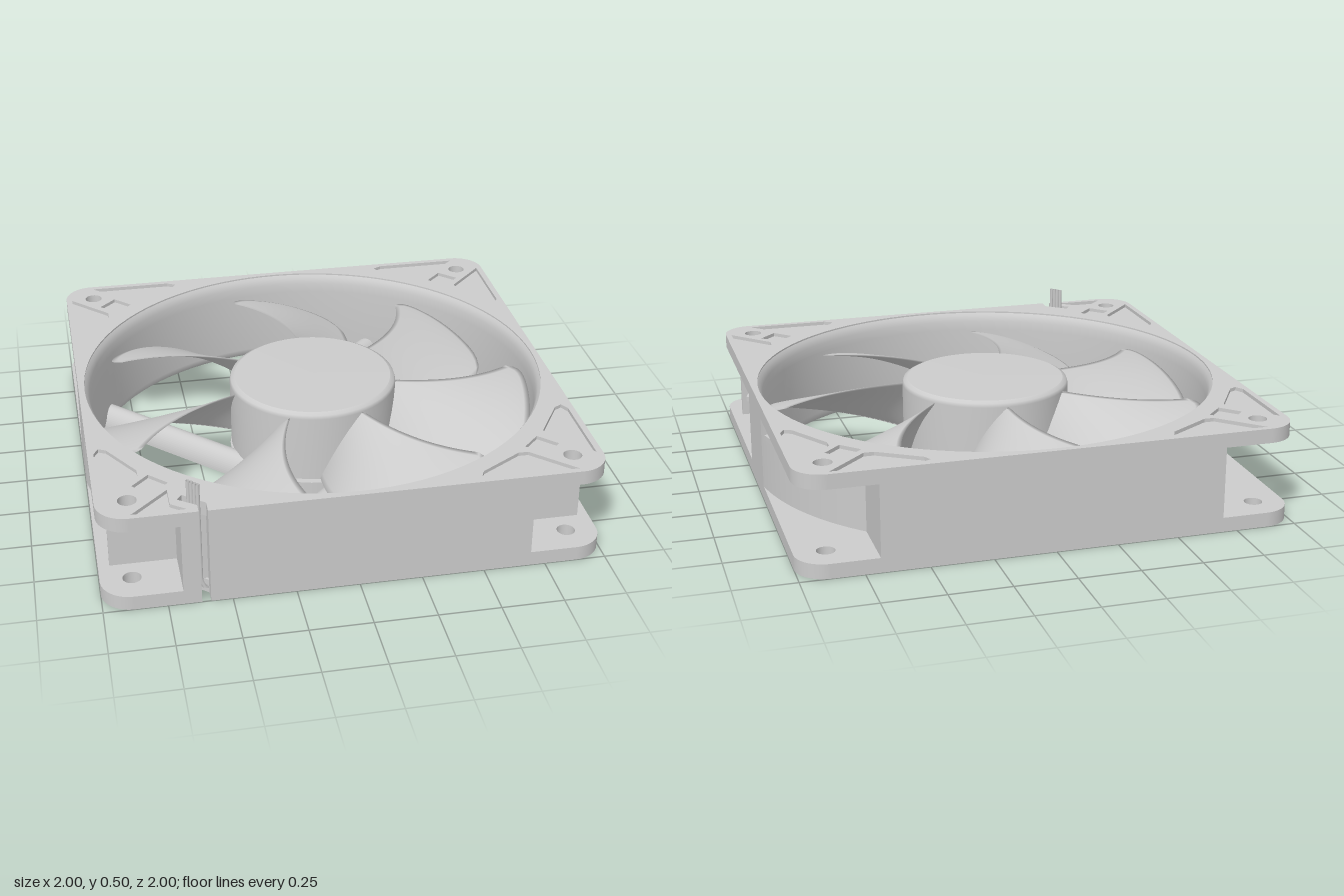
import * as THREE from 'three';
import { ParametricGeometry } from 'three/addons/geometries/ParametricGeometry.js';

const grey = new THREE.MeshStandardMaterial({ color: 0xcccccc });
const greyDouble = new THREE.MeshStandardMaterial({ color: 0xcccccc, side: THREE.DoubleSide });
const HEIGHT = 0.415, BORE = 0.975, DUCT = 1.0135, PI = Math.PI;

function add(parent, name, geometry, material = grey) {
  const mesh = new THREE.Mesh(geometry, material);
  mesh.name = name;
  parent.add(mesh);
  return mesh;
}

// Extrudes a plan shape (x, z) between two heights
function slab(shape, y0, y1) {
  const g = new THREE.ExtrudeGeometry(shape, { depth: y1 - y0, bevelEnabled: false, curveSegments: 48 });
  return g.rotateX(PI / 2).translate(0, y1, 0);
}

function circlePath(x, z, r) {
  return new THREE.Path().absarc(x, z, r, 0, 2 * PI, true);
}

function polygon(points, sx = 1, sz = 1) {
  return new THREE.Path(points.map(([x, z]) => new THREE.Vector2(x * sx, z * sz)));
}

const corners = [[1, 1], [1, -1], [-1, 1], [-1, -1]];
const pocket = [[0.87, 0.975], [0.52, 0.975], [0.485, 0.955], [0.5, 0.925], [0.67, 0.82], [0.71, 0.82]];
const shortPocket = [[0.87, 0.975], [0.66, 0.975], [0.72, 0.93], [0.72, 0.83]];
const diamond = [[0.78, 0.85], [0.85, 0.78], [0.78, 0.71], [0.71, 0.78]];

// Rounded square plate with bore, screw holes and cable notch
function flangeShape(withPockets) {
  const s = new THREE.Shape();
  s.moveTo(-0.88, -1).lineTo(0.88, -1);
  s.absarc(0.88, -0.88, 0.12, -PI / 2, 0);
  s.absarc(0.88, 0.88, 0.12, 0, PI / 2);
  for (const [x, z] of [[-0.585, 1], [-0.585, 0.945], [-0.67, 0.875], [-0.69, 0.905], [-0.62, 0.955], [-0.62, 1]]) s.lineTo(x, z);
  s.absarc(-0.88, 0.88, 0.12, PI / 2, PI);
  s.absarc(-0.88, -0.88, 0.12, PI, 1.5 * PI);
  s.holes.push(circlePath(0, 0, BORE));
  for (const [sx, sz] of corners) {
    s.holes.push(circlePath(0.875 * sx, 0.875 * sz, 0.037));
    if (!withPockets) continue;
    const cable = sx < 0 && sz > 0;
    s.holes.push(polygon(cable ? shortPocket : pocket, sx, sz));
    s.holes.push(polygon(pocket.map(([a, b]) => [b, a]), sx, sz));
    s.holes.push(polygon(diamond, sx, sz));
  }
  return s;
}

// Duct wall: round at the open corners, flat at front and back
function ductShape() {
  const s = new THREE.Shape();
  const a = Math.acos(0.69 / DUCT), b = Math.asin(0.165 / DUCT);
  s.moveTo(-0.69, -1).lineTo(0.69, -1);
  s.absarc(0, 0, DUCT, -a, -b);
  s.absarc(0, 0, DUCT, b, a);
  for (const [x, z] of [[0.69, 1], [-0.585, 1], [-0.585, 0.93], [-0.62, 0.93], [-0.62, 1], [-0.69, 1]]) s.lineTo(x, z);
  s.absarc(0, 0, DUCT, PI - a, PI - b);
  s.absarc(0, 0, DUCT, PI + b, PI + a);
  s.holes.push(circlePath(0, 0, BORE));
  return s;
}

function lathe(points, segments = 96) {
  return new THREE.LatheGeometry(points.map(([r, y]) => new THREE.Vector2(r, y)), segments);
}

function buildFrame() {
  const frame = new THREE.Group();
  frame.name = 'frame';
  const skin = 0.015;
  add(frame, 'bottomFlangeFace', slab(flangeShape(true), 0, skin));
  add(frame, 'bottomFlange', slab(flangeShape(false), skin, 0.06));
  add(frame, 'topFlange', slab(flangeShape(false), 0.355, HEIGHT - skin));
  add(frame, 'topFlangeFace', slab(flangeShape(true), HEIGHT - skin, HEIGHT));
  add(frame, 'ductWall', slab(ductShape(), 0.06, 0.355));

  // Flared inner lining
  const liner = [[BORE, 0], [0.962, 0.012], [0.955, 0.04], [0.952, 0.2], [0.952, 0.33], [0.956, 0.37], [0.964, 0.398], [0.982, HEIGHT]];
  add(frame, 'ductLining', lathe(liner), greyDouble);

  // Narrow outer rib across each open corner, and front gusset plates
  const a = Math.acos(0.69 / 1.03), b = Math.asin(0.25 / 1.03);
  for (let i = 0; i < 4; i++) {
    const start = [b, PI - a, PI + b, 2 * PI - a][i], end = start + a - b;
    const rib = new THREE.Shape();
    rib.absarc(0, 0, 1.03, start, end);
    rib.absarc(0, 0, 1.0, end, start, true);
    add(frame, 'cornerRib', slab(rib, 0.295, 0.315));
  }
  for (const sx of [1, -1]) {
    add(frame, 'cornerGusset', new THREE.BoxGeometry(0.28, 0.295, 0.02)).position.set(0.815 * sx, 0.2075, 0.77);
  }
  return frame;
}

// Four offset arms carry the motor base
function buildSupport() {
  const support = new THREE.Group();
  support.name = 'support';
  add(support, 'motorBase', new THREE.CylinderGeometry(0.36, 0.36, 0.07, 64)).position.y = 0.035;
  const arch = new THREE.Shape();
  arch.moveTo(-0.06, 0);
  arch.absellipse(0, 0, 0.06, 0.09, PI, 0, true);
  arch.lineTo(0.042, 0);
  arch.absellipse(0, 0, 0.042, 0.07, 0, PI, false);
  for (let i = 0; i < 4; i++) {
    const g = new THREE.ExtrudeGeometry(arch, { depth: 0.86, bevelEnabled: false, curveSegments: 16 });
    g.translate(0.3, 0, 0.05);
    add(support, 'supportArm', g).rotation.y = -PI / 4 + i * PI / 2;
  }
  return support;
}

// Curved, twisted blade: closed thin section swept from root to tip
function bladeGeometry() {
  const rad = PI / 180;
  return new ParametricGeometry((u, w, target) => {
    const upper = w < 0.5;
    const c = upper ? 2 * w : 2 - 2 * w;
    const tip = 0.94 - 0.07 * Math.pow(Math.abs(2 * c - 1), 7);
    const r = 0.33 + u * (tip - 0.33);
    const t = (r - 0.36) / 0.58;
    const lead = (-8 * t - 9 * t * t) * rad;
    const trail = (31 - 4 * t - 9 * t * t) * rad;
    const angle = lead + (trail - lead) * c;
    const high = 0.375 - 0.04 * t, low = 0.09 + 0.08 * t;
    const thick = 0.011 * Math.sqrt(Math.max(0, Math.sin(PI * c))) * Math.sqrt(1 - Math.pow(u, 8));
    const y = high + (low - high) * c + 0.025 * Math.sin(PI * c) + (upper ? thick : -thick);
    target.set(Math.sin(angle) * r, y, -Math.cos(angle) * r);
  }, 24, 40);
}

function buildRotor() {
  const rotor = new THREE.Group();
  rotor.name = 'rotor';
  const hub = [[0, 0.085], [0.355, 0.085], [0.355, 0.085], [0.357, 0.375], [0.352, 0.391], [0.335, 0.4], [0.335, 0.4], [0, 0.402]];
  add(rotor, 'hub', lathe(hub, 64));
  const blade = bladeGeometry();
  for (let i = 0; i < 7; i++) add(rotor, 'blade', blade, greyDouble).rotation.y = -i * 2 * PI / 7;
  return rotor;
}

// Wires run along one arm, then up through the notch
function buildCable() {
  const cable = new THREE.Group();
  cable.name = 'cable';
  for (let i = 0; i < 4; i++) {
    const d = i * 0.018;
    const path = new THREE.CurvePath();
    const pts = [[0.1 + d, 0.02, 0.33 + d], [-0.4 + d, 0.02, 0.82 + d], [-0.6 - d * 0.6, 0.025, 0.945 - d * 0.6], [-0.615 - d * 0.6, 0.06, 0.945 - d * 0.6], [-0.615 - d * 0.6, 0.5, 0.945 - d * 0.6]]
      .map((p) => new THREE.Vector3(...p));
    for (let k = 0; k < pts.length - 1; k++) path.add(new THREE.LineCurve3(pts[k], pts[k + 1]));
    add(cable, 'wire', new THREE.TubeGeometry(path, 60, 0.008, 8), greyDouble);
  }
  return cable;
}

export function createModel() {
  const model = new THREE.Group();
  model.name = 'coolingFan';
  model.add(buildFrame(), buildSupport(), buildRotor(), buildCable());
  return model;
}
